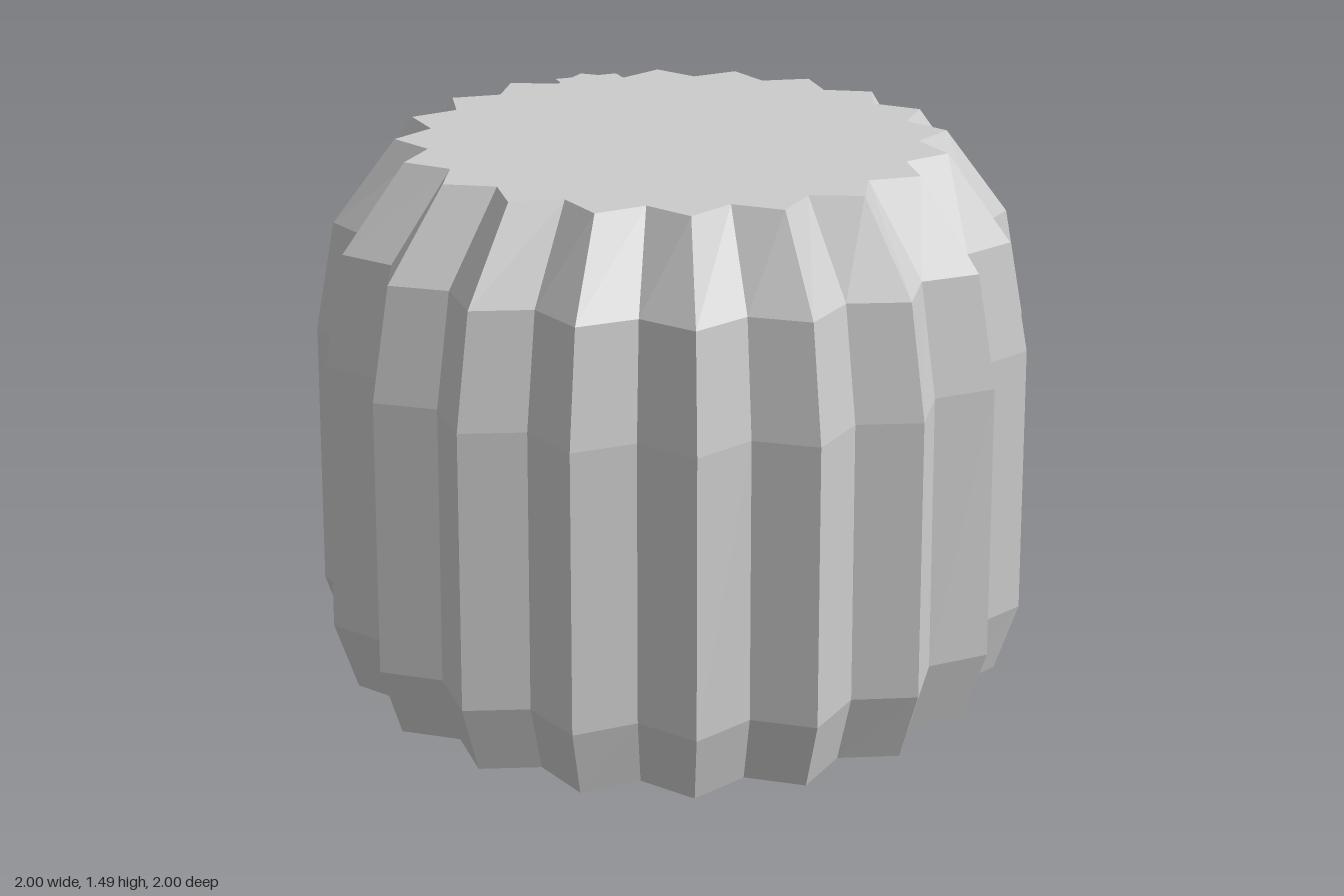
import * as THREE from 'three';

const RIBS = 20;
const TOP = 1.49;

// Rings of the fluted wall: height, ridge radius, groove radius
const RINGS = [
  [0, 0.94, 0.855],
  [0.2, 1.0, 0.91],
  [0.96, 0.98, 0.89],
  [1.26, 0.92, 0.835],
  [TOP, 0.745, 0.66],
];

export function createModel() {
  const group = new THREE.Group();
  group.name = 'flutedPouf';
  const fabric = new THREE.MeshStandardMaterial({ color: 0xcccccc });
  fabric.name = 'light grey';
  fabric.flatShading = true;
  fabric.side = THREE.DoubleSide;

  const add = (name, geometry) => {
    const mesh = new THREE.Mesh(geometry, fabric);
    mesh.name = name;
    group.add(mesh);
    return mesh;
  };

  // Pleated wall, open below: alternate columns follow ridge and groove
  const wall = new THREE.CylinderGeometry(1, 1, 1, RIBS * 2, RINGS.length - 1, true);
  const pos = wall.attributes.position;
  const columns = RIBS * 2 + 1;
  for (let i = 0; i < pos.count; i++) {
    const column = i % columns;
    const ring = RINGS[RINGS.length - 1 - Math.floor(i / columns)];
    const r = ring[1 + (column % 2)];
    const a = (column / (RIBS * 2)) * Math.PI * 2;
    pos.setXYZ(i, r * Math.sin(a), ring[0], r * Math.cos(a));
  }
  wall.computeVertexNormals();
  add('pleatedWall', wall);

  // Flat star-edged seat
  const [, ridge, groove] = RINGS[RINGS.length - 1];
  const outline = [];
  for (let i = 0; i < RIBS * 2; i++) {
    const a = (i / (RIBS * 2)) * Math.PI * 2;
    const r = i % 2 ? groove : ridge;
    outline.push(new THREE.Vector2(r * Math.sin(a), r * Math.cos(a)));
  }
  const seat = new THREE.ShapeGeometry(new THREE.Shape(outline));
  seat.rotateX(-Math.PI / 2);
  add('seat', seat).position.y = TOP;

  // Small flat tab at the back of the seat
  const tab = new THREE.PlaneGeometry(0.19, 0.34);
  tab.rotateX(-Math.PI / 2);
  add('backTab', tab).position.set(0, TOP + 0.002, -0.53);

  return group;
}
